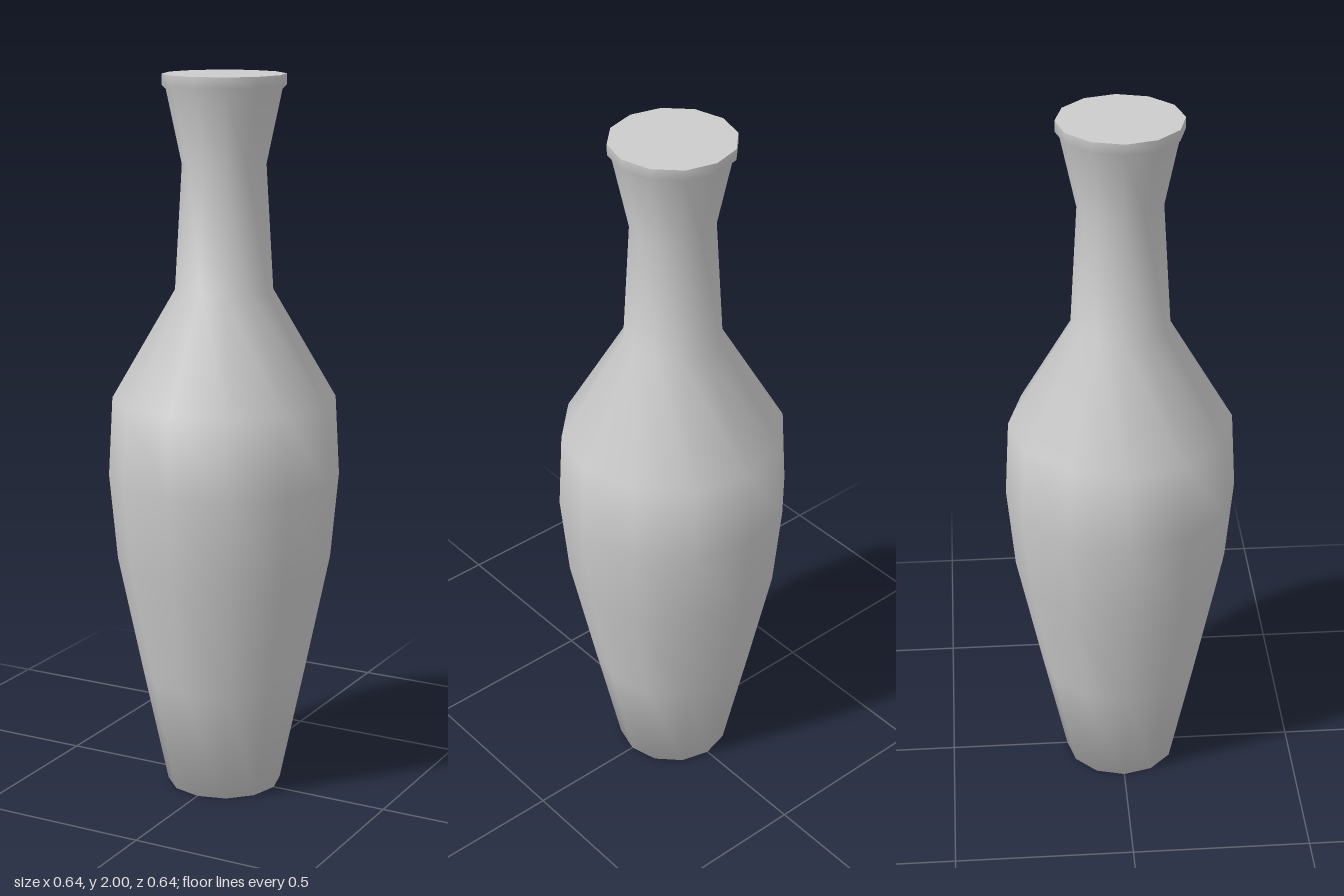
import * as THREE from 'three';

const SIDES = 12;
const HEIGHT = 2;
const LIP_RADIUS = 0.167;

// Profile as [radius, height], from the centre of the base up to the lip
const PROFILE = [
  [0, 0],
  [0.16, 0],      // foot
  [0.23, 0.33],
  [0.298, 0.66],
  [0.32, 0.9],    // belly
  [0.308, 1.12],  // shoulder
  [0.134, 1.42],  // base of neck
  [0.114, 1.76],  // narrowest part of neck
  [0.156, 1.96],  // flared mouth
  [LIP_RADIUS, 1.97],
  [LIP_RADIUS, HEIGHT],
];

export function createModel() {
  const model = new THREE.Group();
  model.name = 'vase';
  const material = new THREE.MeshStandardMaterial({ color: 0xcccccc });

  // Smooth twelve-sided body with a closed base
  const points = PROFILE.map(([r, y]) => new THREE.Vector2(r, y));
  const body = new THREE.Mesh(new THREE.LatheGeometry(points, SIDES), material);
  body.name = 'body';
  model.add(body);

  // Flat disc closing the mouth, with a sharp edge
  const cap = new THREE.Mesh(new THREE.CircleGeometry(LIP_RADIUS, SIDES), material);
  cap.name = 'topCap';
  cap.rotation.x = -Math.PI / 2;
  cap.position.y = HEIGHT;
  model.add(cap);

  return model;
}
